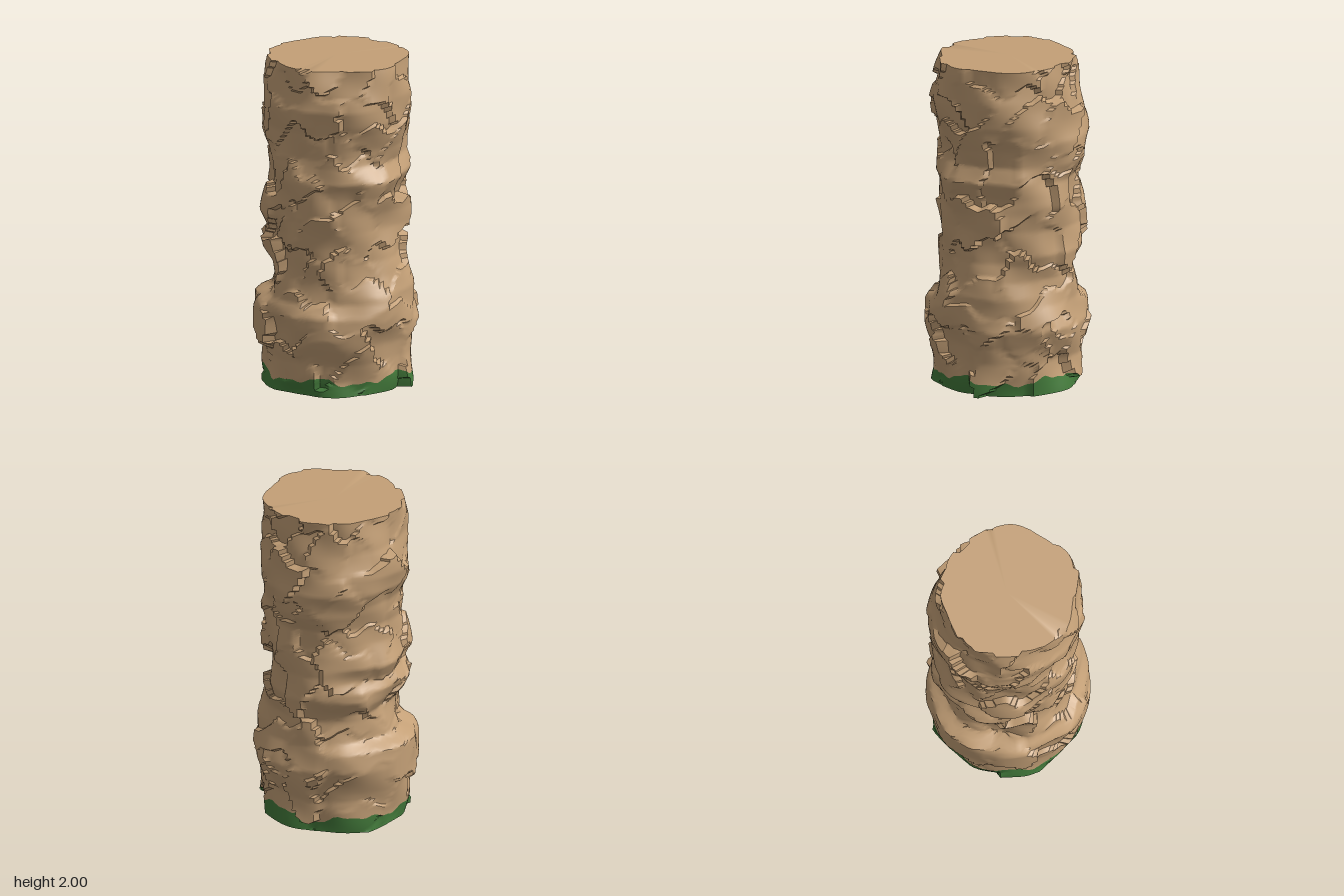
import * as THREE from 'three';
import { toCreasedNormals } from 'three/addons/utils/BufferGeometryUtils.js';

const SIDES = 96;

// small seeded random generator
function seeded(seed) {
  return () => {
    seed = (seed * 1664525 + 1013904223) % 4294967296;
    return seed / 4294967296;
  };
}

// outline radius by height, as [y, radius], on each of the four sides
const PROFILES = {
  left: [[0, .45], [.2, .45], [.3, .46], [.4, .49], [.5, .48], [.6, .47], [.7, .43], [.8, .4], [1, .39],
    [1.1, .4], [1.2, .42], [1.3, .46], [1.4, .39], [1.5, .4], [1.65, .44], [1.8, .45], [2, .44]],
  right: [[0, .46], [.25, .47], [.4, .49], [.52, .5], [.57, .4], [.75, .38], [.82, .43], [.9, .46],
    [.97, .42], [1.06, .47], [1.2, .42], [1.3, .4], [1.45, .42], [1.55, .46], [1.65, .46], [1.8, .42], [2, .42]],
  front: [[0, .44], [.2, .45], [.3, .48], [.48, .5], [.56, .43], [.7, .41], [.9, .41], [1.1, .42],
    [1.3, .43], [1.45, .4], [1.6, .41], [1.75, .45], [2, .41]],
  back: [[0, .46], [.2, .44], [.4, .49], [.55, .44], [.7, .42], [.85, .46], [1, .43], [1.15, .44],
    [1.3, .42], [1.4, .46], [1.55, .48], [1.75, .44], [2, .4]],
};

function sample(profile, y) {
  for (let i = 1; i < profile.length; i++) {
    const [y0, r0] = profile[i - 1], [y1, r1] = profile[i];
    if (y <= y1) return r0 + (r1 - r0) * (y - y0) / (y1 - y0);
  }
  return profile[profile.length - 1][1];
}

// chipped plates of stone, each with its own depth and tilt
const rand = seeded(41);
const plates = Array.from({ length: 120 }, () => ({
  a: rand() * Math.PI * 2, y: rand() * 2.1 - .05, depth: rand() * .035 - .008,
  tiltA: (rand() - .5) * .28, tiltY: (rand() - .5) * .32,
}));

function plateDepth(a, y) {
  const wa = a + .07 * Math.sin(y * 19 + a * 3), wy = y + .03 * Math.sin(a * 11 + y * 7);
  let best = Infinity, depth = 0;
  for (const p of plates) {
    const da = Math.atan2(Math.sin(wa - p.a), Math.cos(wa - p.a)) * .43;
    const dy = wy - p.y;
    const d = da * da + dy * dy * 1.4;
    if (d < best) {
      best = d;
      depth = p.depth + da * p.tiltA + dy * p.tiltY;
    }
  }
  return depth;
}

// point on the stone surface at angle a (0 = +x, quarter turn = +z)
function surface(a, y) {
  const c = Math.cos(a), s = Math.sin(a);
  const rx = sample(c > 0 ? PROFILES.left : PROFILES.right, y);
  const rz = sample(s > 0 ? PROFILES.front : PROFILES.back, y);
  const bumps = .007 * Math.sin(a * 7 + y * 9) + .006 * Math.sin(a * 5 - y * 17 + 2);
  const r = Math.min(.5, rx * c * c + rz * s * s - plateDepth(a, y) + bumps);
  return [r * c, y, r * s];
}

// uneven upper edge of the moss
const mossEdge = a => .085 + .018 * Math.sin(a * 5 + 1) + .012 * Math.sin(a * 11) + .006 * Math.sin(a * 23);

// wall between two heights, closed by a flat cap at the given end
function shell(bottom, top, rows, capAtTop) {
  const pos = [], index = [];
  for (let j = 0; j <= rows; j++) {
    for (let i = 0; i < SIDES; i++) {
      const a = i / SIDES * Math.PI * 2;
      pos.push(...surface(a, bottom(a) + (top(a) - bottom(a)) * j / rows));
    }
  }
  for (let j = 0; j < rows; j++) {
    for (let i = 0; i < SIDES; i++) {
      const n = (i + 1) % SIDES;
      const p = j * SIDES + i, q = j * SIDES + n;
      index.push(p, p + SIDES, q, q, p + SIDES, q + SIDES);
    }
  }
  const center = pos.length / 3, start = capAtTop ? rows * SIDES : 0;
  pos.push(0, capAtTop ? 2 : 0, 0);
  for (let i = 0; i < SIDES; i++) {
    const p = start + i, q = start + (i + 1) % SIDES;
    if (capAtTop) index.push(center, q, p);
    else index.push(center, p, q);
  }
  const geometry = new THREE.BufferGeometry();
  geometry.setAttribute('position', new THREE.Float32BufferAttribute(pos, 3));
  geometry.setIndex(index);
  return toCreasedNormals(geometry, .7);
}

export function createModel() {
  const stone = new THREE.MeshStandardMaterial({ color: 0xc4a077 });
  stone.name = 'sandstone';
  const moss = new THREE.MeshStandardMaterial({ color: 0x437a3b });
  moss.name = 'moss green';

  const model = new THREE.Group();
  model.name = 'rockPillar';

  // tall weathered column with a flat top
  const column = new THREE.Mesh(shell(mossEdge, () => 2, 130, true), stone);
  column.name = 'stoneColumn';

  // mossy foot and underside
  const foot = new THREE.Mesh(shell(() => 0, mossEdge, 6, false), moss);
  foot.name = 'mossyFoot';

  model.add(column, foot);
  return model;
}
